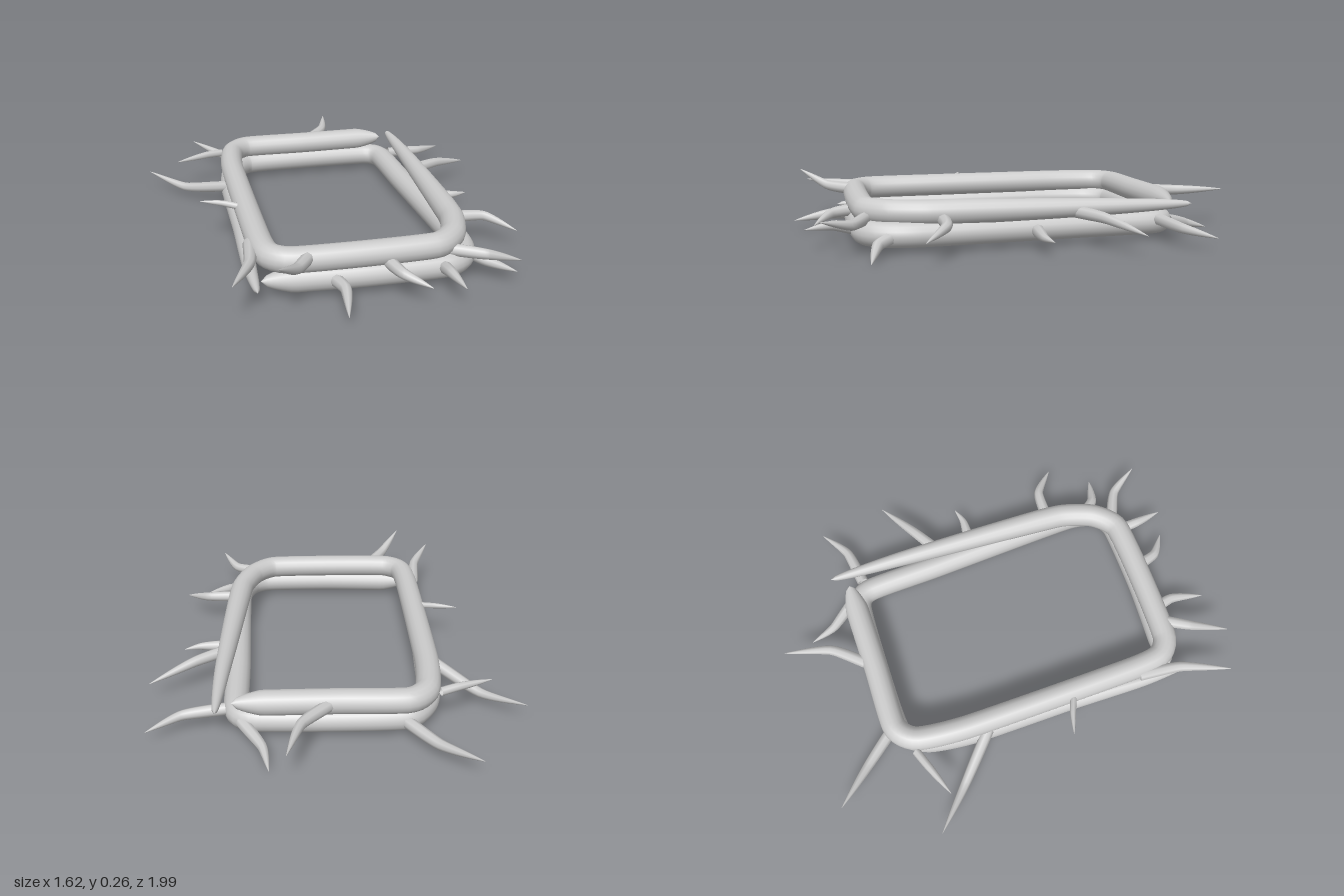
import * as THREE from 'three';

const material = new THREE.MeshStandardMaterial({ color: 0xcccccc, side: THREE.DoubleSide });
const vineThickness = 0.054;
const upper = 0.17;
const lower = 0.083;

// Tube along a path, each ring scaled by radiusAt(share of the length)
function branch(name, points, radiusAt, steps, sides) {
  const curve = new THREE.CatmullRomCurve3(points, false, 'catmullrom', 0.3);
  const geometry = new THREE.TubeGeometry(curve, steps, 1, sides, false);
  const pos = geometry.attributes.position;
  const v = new THREE.Vector3();
  for (let i = 0; i <= steps; i++) {
    const u = i / steps;
    const centre = curve.getPointAt(u);
    for (let j = 0; j <= sides; j++) {
      const n = i * (sides + 1) + j;
      v.fromBufferAttribute(pos, n).sub(centre).multiplyScalar(radiusAt(u)).add(centre);
      pos.setXYZ(n, v.x, v.y, v.z);
    }
  }
  const mesh = new THREE.Mesh(geometry, material);
  mesh.name = name;
  return mesh;
}

// Level vine: a long slender tip at the start, a blunt one at the end
function vine(name, y, outline) {
  const taper = (u) => vineThickness * Math.min(1, (u / 0.25) ** 0.4, Math.sqrt((1 - u) / 0.03));
  const points = outline.map(([x, z]) => new THREE.Vector3(x, y, z));
  return branch(name, points, taper, 180, 16);
}

// Twig leaving the vine level, bending once and tapering to a point
function twig(base, bend, tip, thickness = 0.026) {
  const taper = (u) => 0.001 + thickness * (1 - u ** 2.5);
  const points = [base, bend, tip].map((p) => new THREE.Vector3(...p));
  return branch('twig', points, taper, 20, 8);
}

export function createModel() {
  const model = new THREE.Group();
  model.name = 'twigFrame';

  // Upper vine, its ends meeting at the back left corner
  model.add(vine('upperVine', upper, [
    [0.49, -0.70], [0.485, -0.35], [0.465, 0.2], [0.45, 0.46], [0.40, 0.61],
    [0.30, 0.70], [0, 0.71], [-0.30, 0.70], [-0.38, 0.64], [-0.40, 0.48],
    [-0.41, -0.3], [-0.385, -0.54], [-0.30, -0.62], [0, -0.62], [0.43, -0.625],
  ]));

  // Lower vine, its ends meeting at the front right corner
  model.add(vine('lowerVine', lower, [
    [-0.445, 0.78], [-0.447, 0.55], [-0.43, 0.2], [-0.42, -0.3], [-0.39, -0.5],
    [-0.30, -0.61], [0, -0.62], [0.34, -0.61], [0.415, -0.54], [0.43, -0.2],
    [0.465, 0.5], [0.43, 0.65], [0.34, 0.71], [0, 0.715], [-0.42, 0.69],
  ]));

  const twigs = new THREE.Group();
  twigs.name = 'twigs';
  model.add(twigs);

  // Twigs on the back and front bars
  const acrossBar = (z, x, y, bend, tip) => twigs.add(twig([x, y, z], bend, tip));
  const back = -0.63;
  acrossBar(back, -0.28, lower, [-0.41, 0.07, -0.79], [-0.56, 0.105, -0.95]);
  acrossBar(back, 0.01, upper, [0.14, 0.18, -0.79], [0.195, 0.185, -1.0]);
  acrossBar(back, 0.39, lower, [0.30, 0.05, -0.76], [0.27, 0.02, -0.88]);
  const front = 0.7;
  acrossBar(front, 0.36, 0.145, [0.50, 0.14, 0.77], [0.58, 0.17, 0.895]);
  acrossBar(front, 0.32, lower, [0.32, 0.11, 0.83], [0.34, 0.10, 0.95]);
  acrossBar(front, 0.08, 0.14, [0.12, 0.13, 0.83], [0.22, 0.095, 0.91]);
  acrossBar(front, -0.145, lower, [-0.11, 0.09, 0.83], [-0.135, 0.06, 0.99]);
  acrossBar(front, -0.22, 0.185, [-0.30, 0.20, 0.83], [-0.39, 0.27, 0.955]);

  // Twigs on the right and left bars
  const alongBar = (x, z, y, bend, tip, thickness) => twigs.add(twig([x, y, z], bend, tip, thickness));
  const right = -0.44;
  alongBar(right, -0.22, 0.12, [-0.64, 0.06, -0.405], [-0.81, 0.095, -0.56]);
  alongBar(right, -0.56, upper, [-0.52, 0.175, -0.53], [-0.67, 0.17, -0.47], 0.018);
  alongBar(right, 0.19, 0.19, [-0.51, 0.20, 0.16], [-0.605, 0.205, 0.13], 0.014);
  alongBar(right, 0.52, upper, [-0.465, 0.18, 0.71], [-0.555, 0.20, 0.92]);
  const left = 0.46;
  alongBar(left, -0.56, 0.1, [0.64, 0.09, -0.59], [0.78, 0.07, -0.68]);
  alongBar(left, -0.155, 0.155, [0.62, 0.145, -0.25], [0.81, 0.10, -0.36]);
  alongBar(left, 0, lower, [0.62, 0.075, 0.01], [0.70, 0.07, -0.01]);
  alongBar(left, 0.40, 0.145, [0.62, 0.14, 0.41], [0.74, 0.10, 0.51]);
  alongBar(left, 0.59, lower, [0.53, 0.06, 0.67], [0.66, 0.012, 0.71]);

  return model;
}
